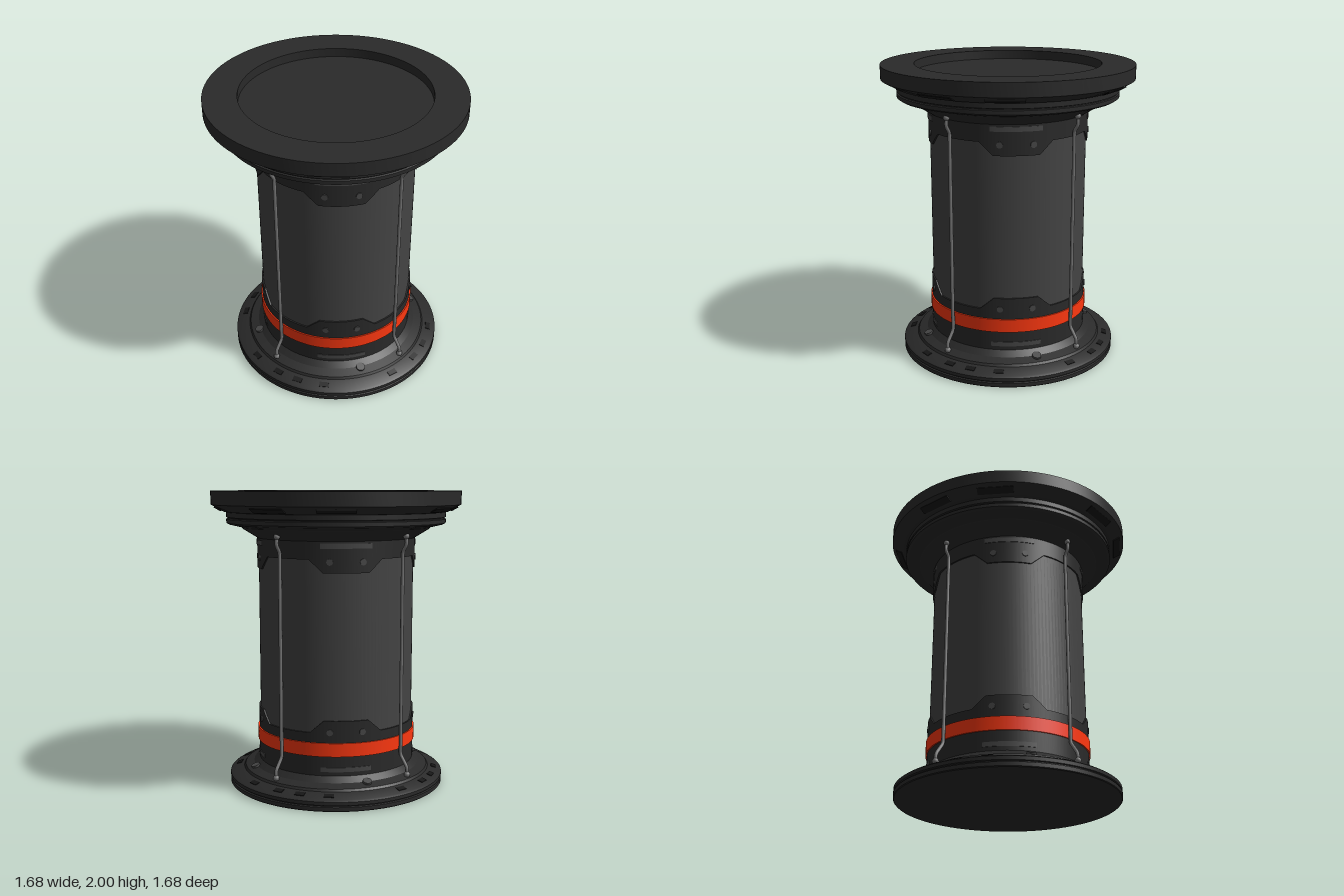
import * as THREE from 'three';
import { toCreasedNormals } from 'three/addons/utils/BufferGeometryUtils.js';

const mat = (color) => new THREE.MeshStandardMaterial({ color });
const DEG = Math.PI / 180;
const TAB = 27; // centre angle of the first collar tab, in degrees from the front

export function createModel() {
  const root = new THREE.Group();
  const dark = mat(0x2a2a2a), black = mat(0x161616), shell = mat(0x444444);
  const steel = mat(0x777777), stud = mat(0x484848), orange = mat(0xff3810);

  const add = (name, geometry, material, parent = root) => {
    const mesh = new THREE.Mesh(geometry, material);
    mesh.name = name;
    parent.add(mesh);
    return mesh;
  };

  // Turned part: profile of [radius, height], listed so the outside faces out
  const turned = (name, profile, material) => {
    const pts = profile.map(([r, y]) => new THREE.Vector2(r, y));
    return add(name, toCreasedNormals(new THREE.LatheGeometry(pts, 128), 0.35), material);
  };

  // Curved plate round the axis; low and high give its edges at each angle
  const curvedPlate = (rIn, rOut, a0, a1, low, high) => {
    const pos = [], index = [], full = a1 - a0 >= 360;
    const n = Math.round(a1 - a0);
    for (let i = 0; i <= n; i++) {
      const a = a0 + ((a1 - a0) * i) / n, s = Math.sin(a * DEG), c = Math.cos(a * DEG);
      const lo = low(a), hi = high(a);
      for (const [r, y] of [[rIn, lo], [rOut, lo], [rOut, hi], [rIn, hi]]) pos.push(r * s, y, r * c);
      if (i === n) break;
      for (let k = 0; k < 3; k++) {
        const p = i * 4 + k, q = p + 4;
        index.push(p, q, q + 1, p, q + 1, p + 1);
      }
    }
    if (!full) {
      const e = n * 4;
      index.push(0, 1, 2, 0, 2, 3, e, e + 2, e + 1, e, e + 3, e + 2);
    }
    const g = new THREE.BufferGeometry();
    g.setAttribute('position', new THREE.Float32BufferAttribute(pos, 3));
    g.setIndex(index);
    return toCreasedNormals(g, 0.35);
  };

  // Places a mesh on the ring at an angle, tilted back from upright
  const onRing = (mesh, angle, r, y, tilt) => {
    const a = angle * DEG;
    mesh.position.set(r * Math.sin(a), y, r * Math.cos(a));
    mesh.rotation.set(tilt, a, 0, 'YXZ');
  };

  // Foot, drum and head
  turned('baseFlange', [
    [0, 0], [0.735, 0], [0.74, 0.005], [0.74, 0.03], [0.73, 0.034], [0.73, 0.038], [0.74, 0.042],
    [0.74, 0.065], [0.725, 0.075], [0.645, 0.1], [0.635, 0.115], [0.575, 0.135], [0.535, 0.17], [0.5, 0.17],
  ], dark);
  turned('drum', [[0.525, 0.15], [0.525, 1.71]], shell);
  turned('topFlange', [
    [0.5, 1.69], [0.535, 1.69], [0.56, 1.705], [0.625, 1.745], [0.64, 1.76], [0.725, 1.78], [0.74, 1.79],
    [0.74, 1.815], [0.73, 1.819], [0.73, 1.824], [0.74, 1.828], [0.74, 1.86], [0.755, 1.863],
    [0.842, 1.91], [0.842, 2], [0.62, 2], [0.62, 1.94], [0, 1.94],
  ], dark);

  // Collars with four sloped tabs each; 0 between tabs, 1 on a tab
  const tabShape = (a) => {
    const d = Math.abs(((((a - TAB) % 90) + 135) % 90) - 45);
    return THREE.MathUtils.clamp((26 - d) / 10, 0, 1);
  };
  add('upperCollar', curvedPlate(0.52, 0.535, 0, 360, (a) => 1.575 - 0.085 * tabShape(a), () => 1.7), dark);
  add('lowerCollar', curvedPlate(0.52, 0.535, 0, 360, () => 0.16, (a) => 0.455 + 0.08 * tabShape(a)), dark);
  add('colourBand', curvedPlate(0.53, 0.544, 0, 360, () => 0.3, () => 0.39), orange);

  // Tie rod, bent outward at both ends, in the plane of radius and height
  const bends = [[0.615, 0.13], [0.615, 0.185], [0.56, 0.265], [0.56, 1.615], [0.59, 1.66], [0.585, 1.715]]
    .map(([r, y]) => new THREE.Vector3(0, y, r));
  const rodPath = new THREE.CurvePath();
  let from = bends[0];
  for (let i = 1; i < bends.length - 1; i++) {
    const b = bends[i];
    const before = b.clone().add(bends[i - 1].clone().sub(b).setLength(0.02));
    const after = b.clone().add(bends[i + 1].clone().sub(b).setLength(0.02));
    rodPath.add(new THREE.LineCurve3(from, before));
    rodPath.add(new THREE.QuadraticBezierCurve3(before, b, after));
    from = after;
  }
  rodPath.add(new THREE.LineCurve3(from, bends[bends.length - 1]));
  const rodGeo = new THREE.TubeGeometry(rodPath, 200, 0.012, 10);
  const knobGeo = new THREE.SphereGeometry(0.021, 14, 10);
  const studGeo = new THREE.CylinderGeometry(0.021, 0.021, 0.012, 16);
  const padGeo = new THREE.CylinderGeometry(0.03, 0.03, 0.02, 20);
  const footSlotGeo = new THREE.BoxGeometry(0.065, 0.008, 0.035);
  const headSlotGeo = new THREE.BoxGeometry(0.24, 0.006, 0.05);

  // Fittings repeated on each quarter
  for (let q = 0; q < 4; q++) {
    const turn = q * 90;
    const rod = new THREE.Group();
    rod.name = 'tieRod';
    rod.rotation.y = (turn - 20) * DEG;
    add('rod', rodGeo, steel, rod);
    add('topKnob', knobGeo, steel, rod).position.copy(bends[bends.length - 1]);
    add('bottomKnob', knobGeo, steel, rod).position.set(0, 0.137, 0.615);
    root.add(rod);

    const mid = turn + TAB;
    for (const [lo, hi] of [[1.645, 1.677], [0.197, 0.227]]) {
      add('collarBar', curvedPlate(0.53, 0.539, mid - 18, mid + 18, () => lo, () => hi), stud);
    }
    for (const y of [1.56, 0.46]) {
      for (const side of [-11.5, 11.5]) {
        onRing(add('collarBolt', studGeo, stud), mid + side, 0.535, y, Math.PI / 2);
      }
    }

    onRing(add('baseStud', padGeo, stud), turn + 40, 0.585, 0.137, 0.35);
    for (const a of [16, 58, 77, 90]) {
      onRing(add('baseSlot', footSlotGeo, black), turn + a, 0.685, 0.0875, 0.3);
    }
    for (const a of [20, 78]) {
      onRing(add('topFlangeSlot', headSlotGeo, black), turn + a, 0.79, 1.881, -0.495);
    }
  }
  return root;
}
